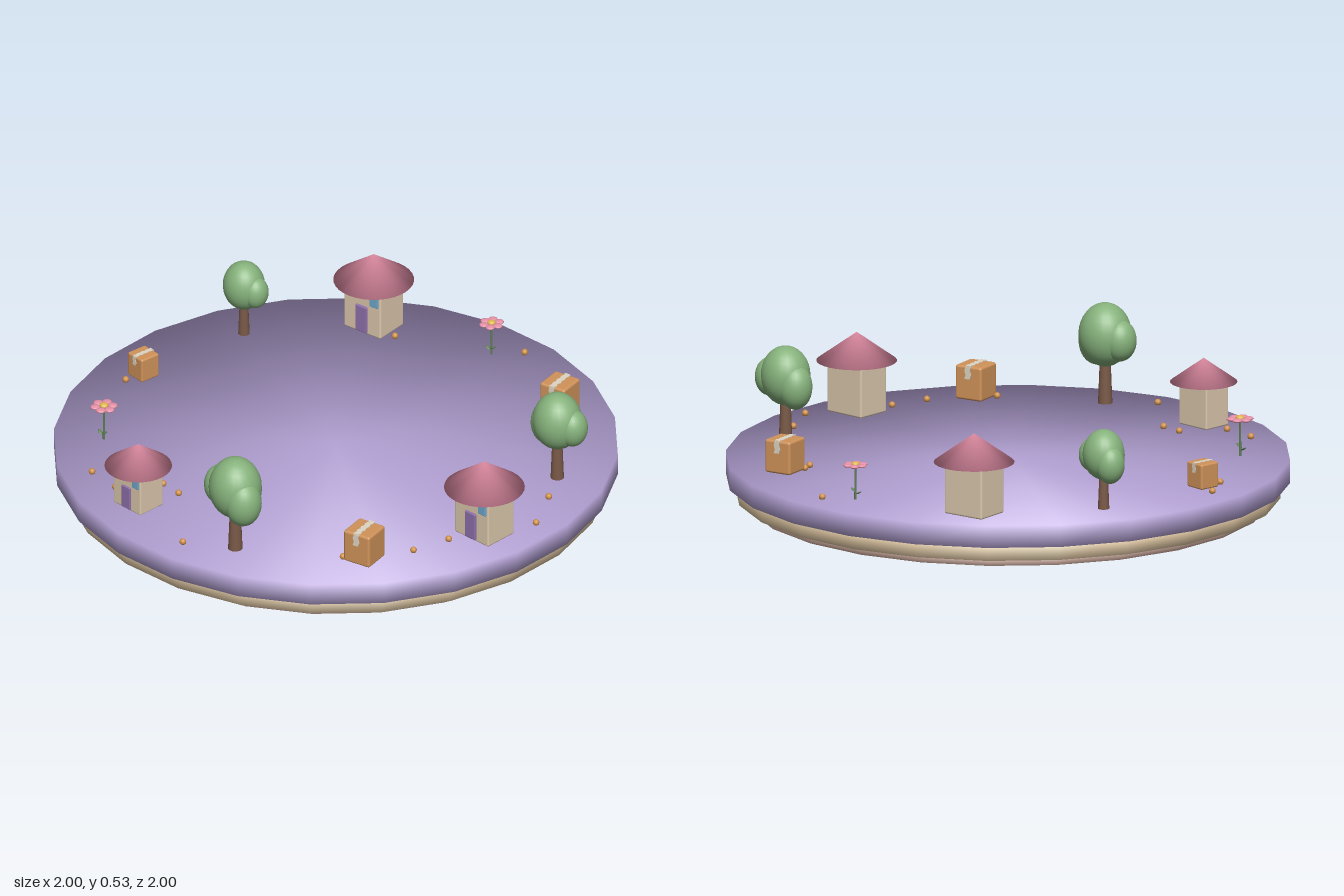
import * as THREE from 'three';
import { mergeVertices } from 'three/addons/utils/BufferGeometryUtils.js';
import { RoundedBoxGeometry } from 'three/addons/geometries/RoundedBoxGeometry.js';

const material = (color, side = THREE.FrontSide) => new THREE.MeshStandardMaterial({ color, side });
const M = {
  lilac: material(0xb5a3d6), sand: material(0xe6cda8), clay: material(0xd9b5a6),
  wall: material(0xdcc8ad), roof: material(0xe08ca4), door: material(0x8f70ac), pane: material(0x6fa8cc),
  bark: material(0x7a5a48), leaf: material(0x86b27c), stem: material(0x5f8055, THREE.DoubleSide),
  petal: material(0xe690a6), pollen: material(0xe0b850),
  carton: material(0xd0935a), tape: material(0xddd5c4, THREE.DoubleSide), pebble: material(0xcf9048),
};

const TOP = 0.166;     // ground height
const RING = 0.82;     // radius of the circle of props

// Welds a solid and gives each corner the plain mean of its face normals, so rims shade softly.
function soften(source) {
  source.deleteAttribute('uv');
  source.deleteAttribute('normal');
  const geo = mergeVertices(source);
  const pos = geo.attributes.position, index = geo.index;
  const sums = Array.from({ length: pos.count }, () => new THREE.Vector3());
  const tri = new THREE.Triangle(), n = new THREE.Vector3();
  for (let i = 0; i < index.count; i += 3) {
    const ids = [0, 1, 2].map((k) => index.getX(i + k));
    tri.setFromAttributeAndIndices(pos, ...ids);
    tri.getNormal(n);
    ids.forEach((id) => sums[id].add(n));
  }
  geo.setAttribute('normal', new THREE.Float32BufferAttribute(
    sums.flatMap((s) => s.normalize().toArray()), 3));
  return geo;
}

function add(parent, name, geo, mat, x = 0, y = 0, z = 0) {
  const mesh = new THREE.Mesh(geo, mat);
  mesh.name = name;
  mesh.position.set(x, y, z);
  parent.add(mesh);
  return mesh;
}

function group(name) {
  const g = new THREE.Group();
  g.name = name;
  return g;
}

// Three stacked discs
function makeBase() {
  const g = group('base');
  const discs = [
    ['lowerDisc', 0.92, 0, 0.032, M.clay],
    ['middleDisc', 0.966, 0.03, 0.087, M.sand],
    ['groundDisc', 1, 0.086, TOP, M.lilac],
  ];
  for (const [name, r, y0, y1, mat] of discs)
    add(g, name, soften(new THREE.CylinderGeometry(r, r, y1 - y0, 24)), mat, 0, (y0 + y1) / 2, 0);
  return g;
}

// Cottage with a cone roof; the door faces +z
function makeHouse() {
  const g = group('house');
  add(g, 'walls', new RoundedBoxGeometry(0.165, 0.2, 0.135, 2, 0.007), M.wall, 0, 0.1, 0);
  add(g, 'roof', soften(new THREE.ConeGeometry(0.143, 0.104, 32)), M.roof, 0, 0.239, 0);
  add(g, 'door', new RoundedBoxGeometry(0.05, 0.105, 0.014, 2, 0.004), M.door, 0, 0.06, 0.069);
  add(g, 'window', new RoundedBoxGeometry(0.036, 0.044, 0.012, 2, 0.003), M.pane, 0.055, 0.146, 0.068);
  return g;
}

// Tree with one large crown and two side lobes
function makeTree() {
  const g = group('tree');
  add(g, 'trunk', new THREE.CylinderGeometry(0.018, 0.026, 0.2, 12), M.bark, 0, 0.1, 0);
  const lobes = [
    ['crown', 0, 0.25, 0, 0.096, 0.115, 0.094],
    ['sideLobe', -0.067, 0.238, 0.012, 0.057, 0.075, 0.06],
    ['lowLobe', 0.058, 0.216, 0.012, 0.066, 0.088, 0.066],
  ];
  for (const [name, x, y, z, rx, ry, rz] of lobes)
    add(g, name, new THREE.SphereGeometry(1, 24, 16), M.leaf, x, y, z).scale.set(rx, ry, rz);
  return g;
}

// Flower lying open to the sky on a thin stem
function makeFlower() {
  const g = group('flower');
  add(g, 'stem', new THREE.CylinderGeometry(0.0035, 0.0045, 0.132, 8), M.stem, 0, 0.066, 0);
  for (const s of [1, -1]) {
    const leaf = add(g, 'leaf', new THREE.SphereGeometry(1, 10, 6), M.stem, s * 0.012, 0.03 + s * 0.004, 0.006);
    leaf.scale.set(0.014, 0.003, 0.007);
    leaf.rotation.z = s * 0.5;
  }
  for (let i = 0; i < 6; i++) {
    const a = (i / 6) * Math.PI * 2;
    add(g, 'petal', new THREE.SphereGeometry(1, 14, 8), M.petal,
      Math.cos(a) * 0.031, 0.135, Math.sin(a) * 0.031).scale.set(0.018, 0.007, 0.018);
  }
  add(g, 'flowerCentre', new THREE.SphereGeometry(1, 14, 10), M.pollen, 0, 0.138, 0).scale.set(0.016, 0.01, 0.016);
  return g;
}

// Ragged-edged strip in the XY plane, running along y
function tapeStrip(length) {
  const steps = Math.max(3, Math.round(length / 0.014));
  const edge = (side) => Array.from({ length: steps + 1 }, (_, i) =>
    new THREE.Vector2(side * 0.011 + (i % 2 ? 0.0025 : -0.0025), (i / steps - 0.5) * length));
  return new THREE.ExtrudeGeometry(new THREE.Shape([...edge(1), ...edge(-1).reverse()]),
    { depth: 0.003, bevelEnabled: false });
}

// Carton taped over the top and part way down both ends
function makeCrate() {
  const g = group('crate');
  const w = 0.108, h = 0.124;
  add(g, 'carton', new RoundedBoxGeometry(w, h, w, 3, 0.009), M.carton, 0, h / 2 + 0.003, 0);
  add(g, 'topTape', tapeStrip(w), M.tape, 0, h + 0.002, 0).rotation.x = -Math.PI / 2;
  for (const s of [1, -1])
    add(g, 'endTape', tapeStrip(0.045), M.tape, 0, h - 0.021, s * w / 2).rotation.y = s > 0 ? 0 : Math.PI;
  return g;
}

export function createModel() {
  const model = group('floatingVillage');
  model.add(makeBase());

  // Props evenly spaced around the rim: builder, scale, turn
  const props = [
    [makeHouse, 1, 0.12], [makeCrate, 1, 0.32], [makeTree, 1, 0],
    [makeHouse, 0.835, 0.08], [makeFlower, 1, 0], [makeCrate, 0.74, 0],
    [makeTree, 0.79, 3.14], [makeHouse, 1, 0.22], [makeFlower, 0.93, 0.2],
    [makeCrate, 0.97, 0.3], [makeTree, 0.93, 3.3],
  ];
  props.forEach(([make, scale, turn], i) => {
    const a = (i / props.length) * Math.PI * 2;
    const prop = make();
    prop.position.set(Math.cos(a) * RING, TOP, Math.sin(a) * RING);
    prop.scale.setScalar(scale);
    prop.rotation.y = turn;
    model.add(prop);
  });

  // Scattered pebbles
  const spots = [
    [-0.04, -0.9], [0.33, -0.64], [0.31, -0.68], [0.785, -0.325], [0.895, -0.175], [0.785, 0.135],
    [0.765, 0.28], [0.64, 0.5], [0.2, 0.87], [-0.155, 0.665], [-0.07, 0.665], [-0.38, 0.805],
    [-0.245, 0.81], [-0.875, 0.2], [-0.795, 0.305], [-0.42, -0.62],
  ];
  const pebbles = group('pebbles');
  for (const [x, z] of spots)
    add(pebbles, 'pebble', new THREE.SphereGeometry(0.012, 12, 8), M.pebble, x, TOP + 0.009, z);
  model.add(pebbles);
  return model;
}
